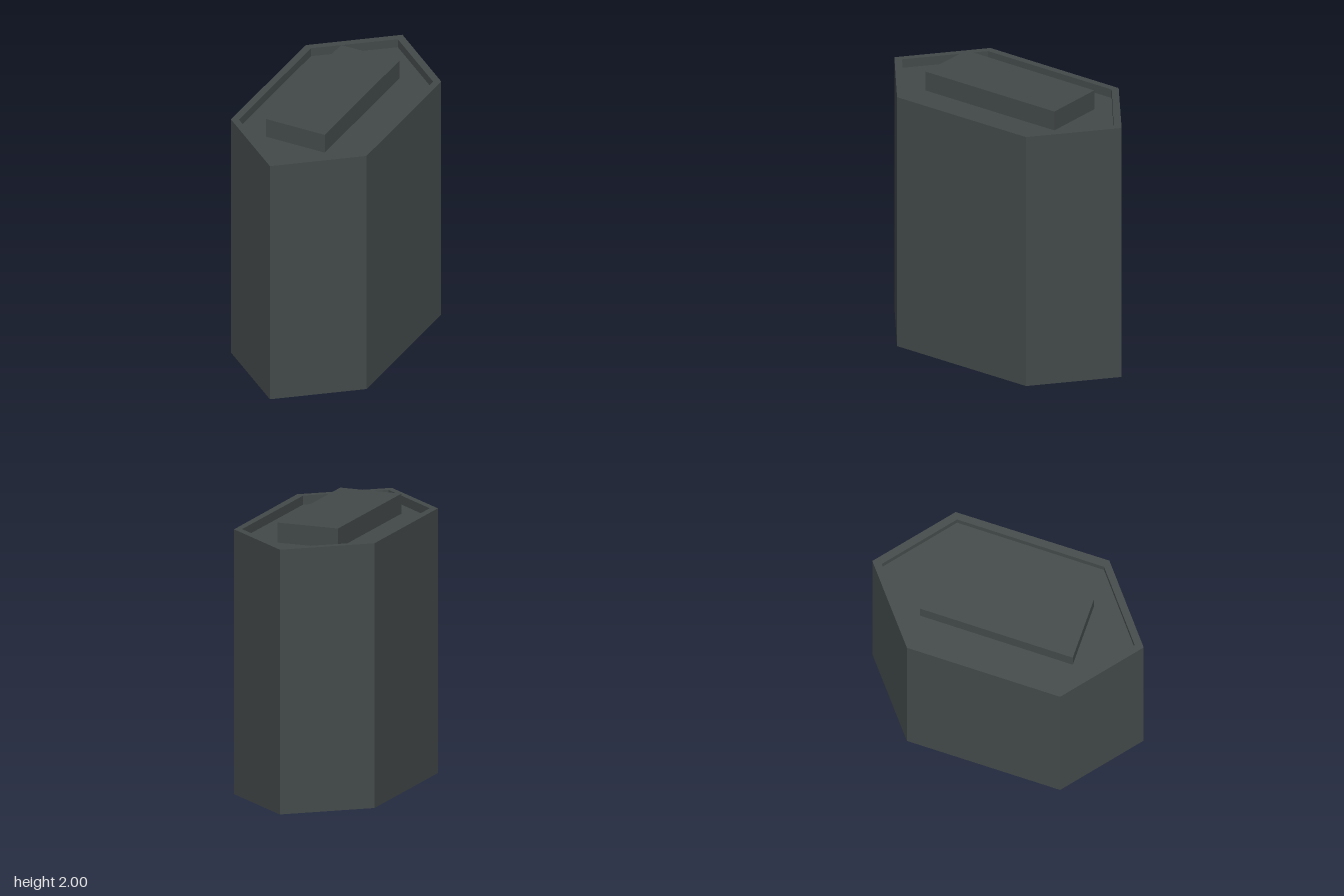
import * as THREE from 'three';

// Plan corners as [x, z], clockwise seen from above
const OUTER = [[-0.05, -0.785], [0.645, -0.78], [0.778, -0.1], [0.05, 0.782], [-0.645, 0.775], [-0.78, 0.092]];
const INNER = [[-0.025, -0.735], [0.6, -0.726], [0.722, -0.11], [0.02, 0.73], [-0.605, 0.722], [-0.725, 0.11]];
const BLOCK = [[0.165, -0.605], [0.522, -0.31], [-0.205, 0.57], [-0.565, 0.27]];
const RIM_Y = 1.92, FLOOR_Y = 1.855, TOP_Y = 2;

const planShape = (ring) => new THREE.Shape(ring.map(([x, z]) => new THREE.Vector2(x, -z)));

// Flat-sided strip of quads joining two rings
function band(ringA, yA, ringB, yB) {
  const pos = [];
  ringA.forEach((p, i) => {
    const j = (i + 1) % ringA.length;
    const a = [p[0], yA, p[1]], b = [ringA[j][0], yA, ringA[j][1]];
    const c = [ringB[i][0], yB, ringB[i][1]], d = [ringB[j][0], yB, ringB[j][1]];
    pos.push(...a, ...c, ...d, ...a, ...d, ...b);
  });
  const geo = new THREE.BufferGeometry();
  geo.setAttribute('position', new THREE.Float32BufferAttribute(pos, 3));
  geo.computeVertexNormals();
  return geo;
}

export function createModel() {
  const group = new THREE.Group();
  group.name = 'hexagonalBuilding';
  const slate = new THREE.MeshStandardMaterial({ color: 0x424848, side: THREE.DoubleSide });
  slate.name = 'dark slate';

  const add = (name, geo) => {
    const mesh = new THREE.Mesh(geo, slate);
    mesh.name = name;
    group.add(mesh);
    return mesh;
  };

  // Outer shell, open underneath
  add('outerWalls', band(OUTER, 0, OUTER, RIM_Y));

  // Parapet around the sunken roof
  add('parapetTop', band(OUTER, RIM_Y, INNER, RIM_Y));
  add('parapetInside', band(INNER, RIM_Y, INNER, FLOOR_Y));

  // Roof floor
  add('roof', new THREE.ShapeGeometry(planShape(INNER)).rotateX(-Math.PI / 2)).position.y = FLOOR_Y;

  // Raised block on the roof
  const block = new THREE.ExtrudeGeometry(planShape(BLOCK), { depth: TOP_Y - FLOOR_Y, bevelEnabled: false });
  add('roofBlock', block.rotateX(-Math.PI / 2)).position.y = FLOOR_Y;

  return group;
}
